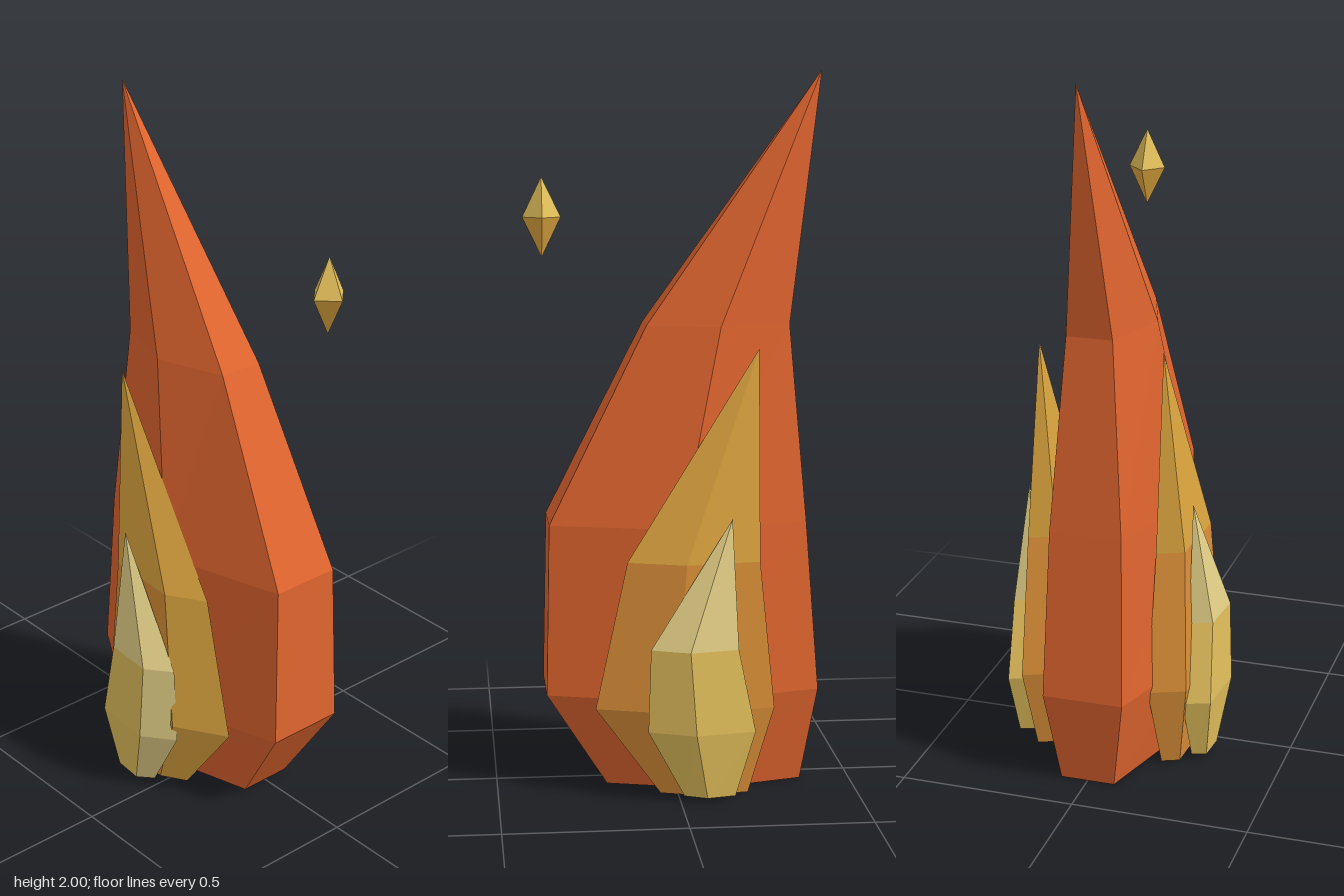
import * as THREE from 'three';

function mat(name, color) {
  const m = new THREE.MeshStandardMaterial({ color, flatShading: true });
  m.name = name;
  return m;
}

// Loft polygonal rings [y, centreX, radiusX, radiusZ] around depth z up to a pointed tip [x, y, z].
// pick(band, side) returns a material index; band -1 is the base, the last band is the tip.
function flameGeometry(sides, phase, z, rings, tip, pick) {
  const point = ([y, cx, rx, rz], k) => {
    const a = phase + (k / sides) * Math.PI * 2;
    return [cx + rx * Math.cos(a), y, z + rz * Math.sin(a)];
  };
  const buckets = [[], []];
  const last = rings.length - 1;
  for (let k = 0; k < sides; k++) {
    const base = rings[0];
    buckets[pick(-1, k)].push([base[1], base[0], z], point(base, k), point(base, k + 1));
    for (let i = 0; i < last; i++) {
      const a = point(rings[i], k), b = point(rings[i], k + 1);
      const c = point(rings[i + 1], k), d = point(rings[i + 1], k + 1);
      buckets[pick(i, k)].push(b, a, c, b, c, d);
    }
    buckets[pick(last, k)].push(point(rings[last], k + 1), point(rings[last], k), tip);
  }
  const geo = new THREE.BufferGeometry();
  geo.setAttribute('position', new THREE.Float32BufferAttribute(buckets.flat(2), 3));
  geo.addGroup(0, buckets[0].length, 0);
  geo.addGroup(buckets[0].length, buckets[1].length, 1);
  geo.computeVertexNormals();
  return geo;
}

export function createModel() {
  const group = new THREE.Group();
  const orange = mat('flame orange', 0xe0652f);
  const gold = mat('gold', 0xe0a840);
  const amber = mat('amber', 0xdc9038);
  const pale = mat('pale yellow', 0xe6d288);
  const paleGold = mat('pale gold', 0xe4c05c);

  const add = (name, geo, materials) => {
    const mesh = new THREE.Mesh(geo, materials);
    mesh.name = name;
    group.add(mesh);
  };

  // Large six-sided outer flame
  const hx = 1 / Math.cos(Math.PI / 6);
  add('outerFlame', flameGeometry(6, Math.PI / 6, 0, [
    [0, -0.085, 0.275 * hx, 0.155],
    [0.27, -0.0225, 0.3825 * hx, 0.23],
    [0.75, -0.01, 0.36 * hx, 0.205],
    [1.3, -0.125, 0.2 * hx, 0.13],
  ], [-0.42, 2, 0], () => 0), [orange, orange]);

  // Five-sided inner flames, one pair on the front and one on the back
  const phase = THREE.MathUtils.degToRad(-8);
  for (const [label, s] of [['front', 1], ['back', -1]]) {
    const pick = (band, side) => (band === 2 || side === 0 ? 0 : 1);
    add(label + 'MiddleFlame', flameGeometry(5, phase, s * 0.187, [
      [0.003, -0.08, 0.13, 0.042],
      [0.25, -0.032, 0.264, 0.085],
      [0.66, -0.053, 0.195, 0.063],
    ], [-0.225, 1.245, s * 0.176], pick), [gold, amber]);
    add(label + 'InnerFlame', flameGeometry(5, phase, s * 0.261, [
      [0.015, -0.085, 0.075, 0.035],
      [0.2, -0.066, 0.157, 0.065],
      [0.43, -0.045, 0.128, 0.054],
    ], [-0.145, 0.785, s * 0.24], pick), [pale, paleGold]);
  }

  // Floating diamond spark, upper and lower halves
  for (const [name, s, m] of [['sparkTop', 1, paleGold], ['sparkBottom', -1, gold]]) {
    const geo = new THREE.ConeGeometry(0.053, 0.11, 4, 1, true);
    geo.translate(0, 0.055, 0);
    if (s < 0) geo.rotateX(Math.PI);
    geo.translate(0.362, 1.6, -0.05);
    add(name, geo, m);
  }
  return group;
}
